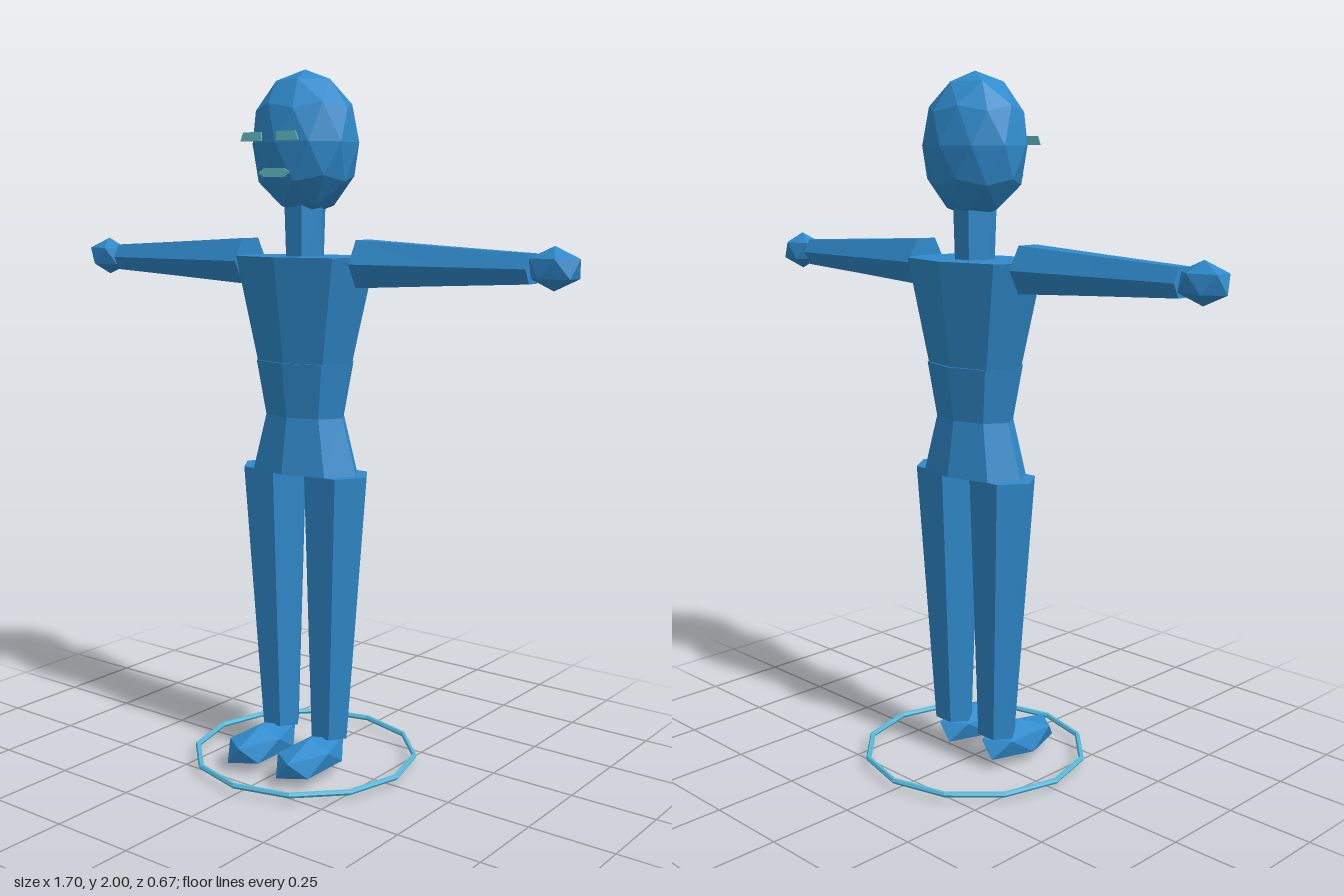
import * as THREE from 'three';

const bodyBlue = new THREE.MeshStandardMaterial({ color: 0x2f8acb });
bodyBlue.name = 'bodyBlue';
const faceTeal = new THREE.MeshStandardMaterial({ color: 0x68c8ce });
faceTeal.name = 'faceTeal';
const ringCyan = new THREE.MeshStandardMaterial({ color: 0x55bbdd });
ringCyan.name = 'ringCyan';

// Give every facet its own flat normal
function faceted(geometry) {
  const flat = geometry.index ? geometry.toNonIndexed() : geometry;
  flat.computeVertexNormals();
  return flat;
}

// Closed tapered solid along y; stations run upward as [y, centreX, radiusX, radiusZ]
function loft(sides, turn, stations) {
  const steps = stations.length - 1;
  const g = new THREE.CylinderGeometry(1, 1, 1, sides, steps, false, turn);
  const p = g.attributes.position;
  for (let i = 0; i < p.count; i++) {
    const [y, cx, rx, rz] = stations[Math.round((p.getY(i) + 0.5) * steps)];
    p.setXYZ(i, cx + p.getX(i) * rx, y, p.getZ(i) * rz);
  }
  return faceted(g);
}

// Icosphere with a vertex at its top and bottom, stretched per axis
function icoBall(detail, sx, sy, sz) {
  const g = new THREE.IcosahedronGeometry(1, detail);
  g.rotateZ(-Math.atan(2 / (1 + Math.sqrt(5))));
  g.scale(sx, sy, sz);
  return faceted(g);
}

// Thin plate facing forward from an outline
function plate(points) {
  const shape = new THREE.Shape(points.map(([x, y]) => new THREE.Vector2(x, y)));
  return new THREE.ExtrudeGeometry(shape, { depth: 0.003, bevelEnabled: false });
}

export function createModel() {
  const model = new THREE.Group();
  model.name = 'figure';

  const add = (name, geometry, material, x = 0, y = 0, z = 0) => {
    const mesh = new THREE.Mesh(geometry, material);
    mesh.name = name;
    mesh.position.set(x, y, z);
    model.add(mesh);
    return mesh;
  };

  // Head, neck and torso
  add('head', icoBall(1, 0.163, 0.2, 0.135), bodyBlue, 0, 1.8, 0);
  add('neck', loft(6, Math.PI / 2, [[1.45, 0, 0.054, 0.058], [1.64, 0, 0.06, 0.064]]), bodyBlue);
  add('chest', loft(8, 0, [[1.19, 0, 0.162, 0.1], [1.49, 0, 0.24, 0.142]]), bodyBlue);
  add('abdomen', loft(8, 0, [
    [0.88, 0, 0.18, 0.11], [1.04, 0, 0.132, 0.086], [1.195, 0, 0.163, 0.108],
  ]), bodyBlue);

  // Face plates
  add('mouth', plate([
    [-0.055, 0], [-0.035, -0.012], [0.035, -0.012], [0.055, 0], [0.035, 0.012], [-0.035, 0.012],
  ]), faceTeal, 0, 1.718, 0.136);

  for (const side of [1, -1]) {
    const prefix = side > 0 ? 'left' : 'right';

    const eye = [[0.026, 1.802], [0.1, 1.802], [0.09, 1.826], [0.026, 1.826]];
    add(prefix + 'Eye', plate(eye.map(([x, y]) => [x * side, y])), faceTeal, 0, 0, 0.157);

    // Arms held straight out, each in two segments
    const segments = {
      UpperArm: [[0.2, 0, 0.075, 0.07], [0.46, 0, 0.059, 0.054]],
      Forearm: [[0.46, 0, 0.059, 0.054], [0.72, 0, 0.044, 0.04]],
    };
    for (const [part, stations] of Object.entries(segments)) {
      const g = loft(6, 0, stations);
      g.rotateZ(-side * Math.PI / 2);
      add(prefix + part, g, bodyBlue, 0, 1.473, 0);
    }
    add(prefix + 'Hand', icoBall(0, 0.079, 0.056, 0.052), bodyBlue, side * 0.779, 1.475, 0);

    // Legs and feet
    add(prefix + 'Leg', loft(6, Math.PI / 2, [
      [0.1, side * 0.09, 0.062, 0.052], [0.88, side * 0.11, 0.107, 0.09],
    ]), bodyBlue);
    add(prefix + 'Foot', icoBall(0, 0.074, 0.058, 0.156), bodyBlue, side * 0.09, 0.058, 0.092);
  }

  // Ground ring around the feet
  const ring = new THREE.TorusGeometry(0.325, 0.008, 6, 12);
  ring.rotateX(Math.PI / 2);
  add('groundRing', faceted(ring), ringCyan, 0, 0.027, 0);

  return model;
}
